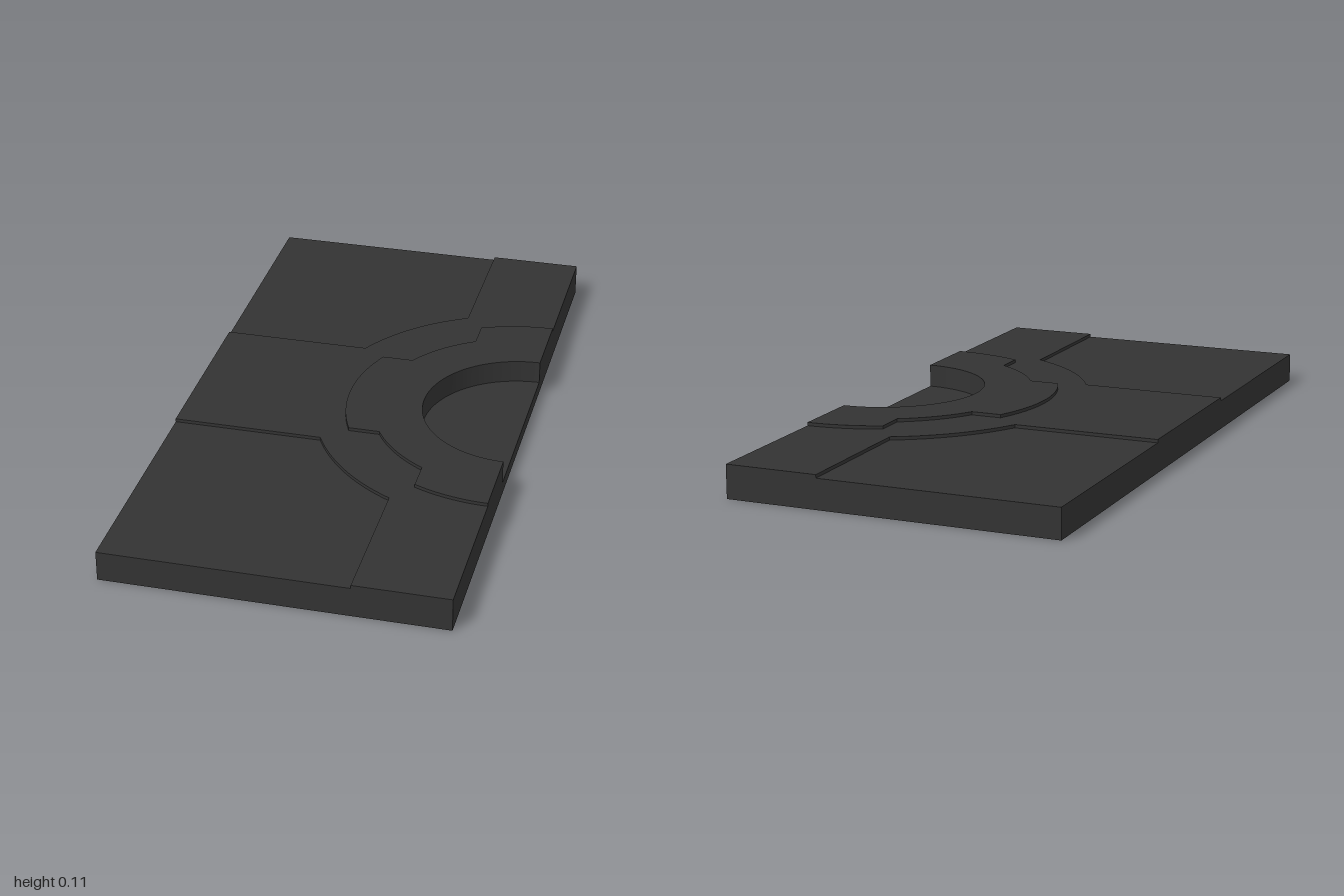
import * as THREE from 'three';

const CX = 0.5;            // all arcs are centred on the middle of the +x edge
const H = Math.PI / 2, P = Math.PI;

// Extrude a plan outline (x, -z) upward from y0 to y1
function layer(name, shape, y0, y1, material) {
  const geo = new THREE.ExtrudeGeometry(shape, { depth: y1 - y0, bevelEnabled: false, curveSegments: 32 });
  geo.rotateX(-H);
  geo.translate(0, y0, 0);
  const mesh = new THREE.Mesh(geo, material);
  mesh.name = name;
  return mesh;
}

// Close an outline along the half-round pocket
function closeWithPocket(shape) {
  shape.lineTo(CX, -0.3);
  shape.absarc(CX, 0, 0.3, 3 * H, H, true);
  shape.closePath();
  return shape;
}

function slabShape() {
  const s = new THREE.Shape();
  s.moveTo(0.5, 1);
  s.lineTo(-0.5, 1);
  s.lineTo(-0.5, -1);
  s.lineTo(0.5, -1);
  return closeWithPocket(s);
}

// Raised paths: three strips meeting in a round collar
function pathShape() {
  const w = 0.28, r = 0.62, d = Math.asin(w / r);
  const s = new THREE.Shape();
  s.moveTo(0.5, 1);
  s.lineTo(CX - w, 1);
  s.absarc(CX, 0, r, H + d, P - d, false);
  s.lineTo(-0.5, w);
  s.lineTo(-0.5, -w);
  s.absarc(CX, 0, r, P + d, 3 * H - d, false);
  s.lineTo(CX - w, -1);
  s.lineTo(0.5, -1);
  return closeWithPocket(s);
}

// Notched ring around the pocket
function ringShape() {
  const w = 0.222, outer = 0.53, inner = 0.447;
  const e = Math.asin(w / outer), f = Math.asin(w / inner);
  const s = new THREE.Shape();
  s.moveTo(CX, outer);
  s.absarc(CX, 0, outer, H, H + e, false);
  s.absarc(CX, 0, inner, H + f, P - f, false);
  s.absarc(CX, 0, outer, P - e, P + e, false);
  s.absarc(CX, 0, inner, P + f, 3 * H - f, false);
  s.absarc(CX, 0, outer, 3 * H - e, 3 * H, false);
  return closeWithPocket(s);
}

export function createModel() {
  const group = new THREE.Group();
  group.name = 'floorTile';
  const stone = new THREE.MeshStandardMaterial({ color: 0x333333 });
  stone.name = 'dark grey';

  // Solid bottom, which is also the pocket floor
  const base = new THREE.Mesh(new THREE.BoxGeometry(1, 0.04, 2), stone);
  base.position.y = 0.02;
  base.name = 'base';

  group.add(
    base,
    layer('slab', slabShape(), 0.04, 0.09, stone),
    layer('raisedPaths', pathShape(), 0.09, 0.1, stone),
    layer('notchedRing', ringShape(), 0.1, 0.11, stone)
  );
  return group;
}
